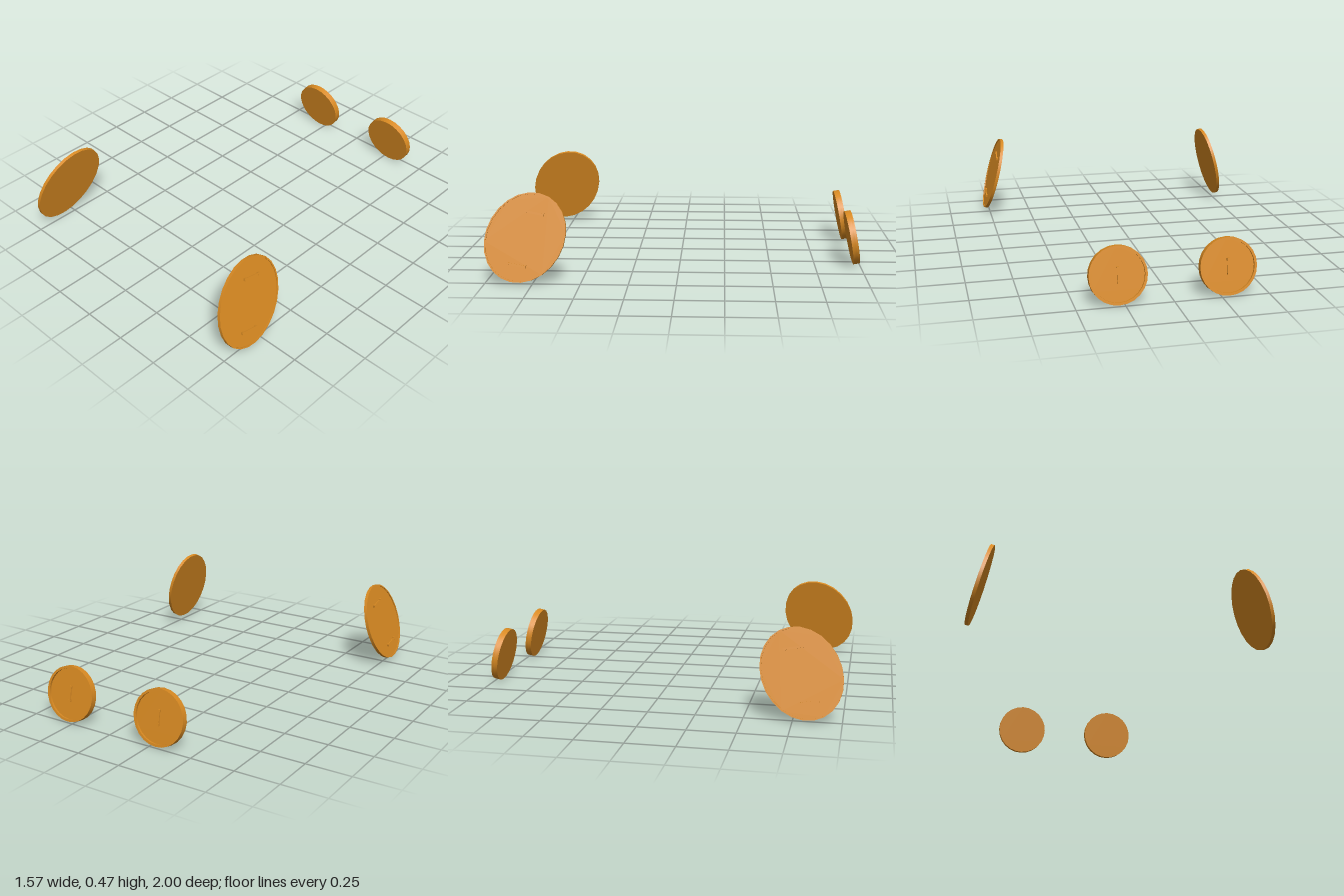
import * as THREE from 'three';
import { toCreasedNormals } from 'three/addons/utils/BufferGeometryUtils.js';

const material = new THREE.MeshStandardMaterial({ color: 0xd98a22 });

// Ellipse outline, long axis tilted from local y towards +x by lean
function outline(short, long, lean, segments = 24) {
  const c = Math.cos(lean), s = Math.sin(lean);
  return Array.from({ length: segments }, (_, i) => {
    const a = (i / segments) * Math.PI * 2;
    const u = short * Math.cos(a), v = long * Math.sin(a);
    return new THREE.Vector2(u * c + v * s, -u * s + v * c);
  });
}

function addMesh(parent, name, geometry, x = 0, y = 0, z = 0) {
  const mesh = new THREE.Mesh(geometry, material);
  mesh.name = name;
  mesh.position.set(x, y, z);
  parent.add(mesh);
  return mesh;
}

// Slim staple: a bar carried on two small end posts
function staple(length, height, width) {
  const group = new THREE.Group();
  group.name = 'staple';
  addMesh(group, 'stapleBar', new THREE.BoxGeometry(length, width * 0.75, height * 0.6), 0, 0, height * 0.6);
  for (const s of [-1, 1]) {
    addMesh(group, 'staplePost', new THREE.BoxGeometry(width, width, height), s * (length - width) / 2, 0, height / 2);
  }
  return group;
}

// Shallow dish facing local +z, centred on its own thickness
function dish(name, { short, long, lean, depth, recess, rim }) {
  const group = new THREE.Group();
  group.name = name;
  const extrude = (shape, d) => toCreasedNormals(
    new THREE.ExtrudeGeometry(shape, { depth: d, bevelEnabled: false }), 0.5);
  const outer = outline(short, long, lean);
  const ring = new THREE.Shape(outer);
  ring.holes.push(new THREE.Path(outline(short - rim, long - rim, lean)));
  const floor = depth - recess;
  addMesh(group, 'plate', extrude(new THREE.Shape(outer), floor), 0, 0, -depth / 2);
  addMesh(group, 'rim', extrude(ring, recess), 0, 0, floor - depth / 2);
  return group;
}

export function createModel() {
  const model = new THREE.Group();
  model.name = 'dishSet';

  for (const s of [1, -1]) {
    const side = s > 0 ? 'left' : 'right';

    // Large oval dish at the front, facing outwards and slightly up
    const front = dish(side + 'FrontDish', {
      short: 0.202, long: 0.245, lean: s * 0.52, depth: 0.018, recess: 0.005, rim: 0.008,
    });
    for (const [x, y] of [[0.047, 0.127], [-0.043, -0.143]]) {
      const clip = staple(0.105, 0.012, 0.014);
      clip.position.set(s * x, y, 0.004);
      clip.rotation.z = -s * 0.185;
      front.add(clip);
    }
    front.position.set(s * 0.718, 0.242, 0.787);
    front.rotation.set(0, s * Math.PI / 2, s * 0.253, 'ZYX');
    model.add(front);

    // Small round dish at the back, facing backwards and slightly up
    const back = dish(side + 'BackDish', {
      short: 0.15, long: 0.15, lean: 0, depth: 0.035, recess: 0.012, rim: 0.013,
    });
    const clip = staple(0.085, 0.01, 0.013);
    clip.position.z = 0.0055;
    clip.rotation.z = Math.PI / 2;
    back.add(clip);
    back.position.set(s * 0.285 - 0.003, 0.152, -0.955);
    back.rotation.set(0.185, Math.PI, 0);
    model.add(back);
  }
  return model;
}
